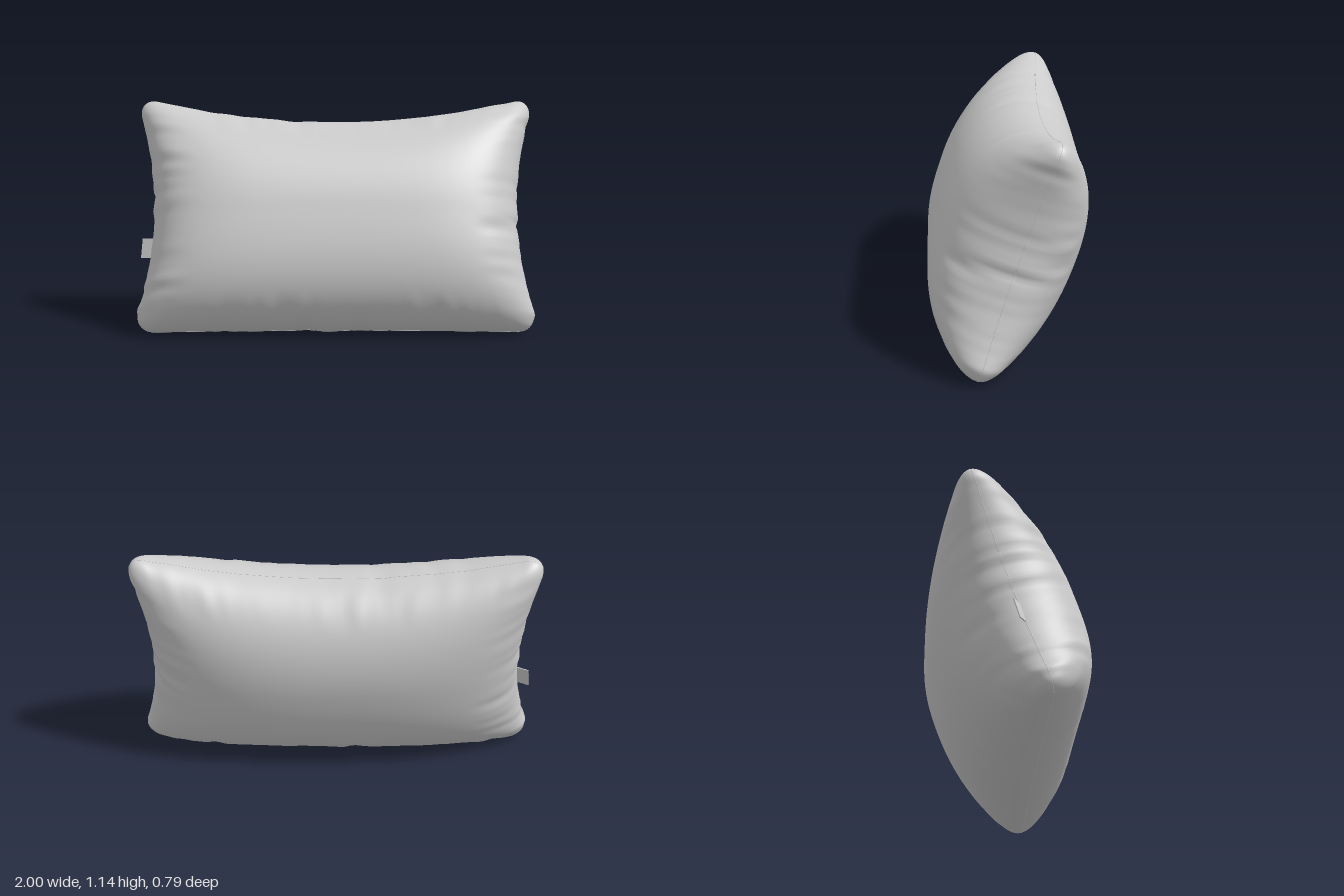
import * as THREE from 'three';

const NU = 120, NV = 90;
const R = 0.12; // corner rounding
const grey = () => new THREE.MeshStandardMaterial({ color: 0xcccccc, side: THREE.DoubleSide });

// soft falloff from 1 at the middle to 0 at the seam
const dome = (s, p, q = 0.5) => Math.max(0, 1 - Math.abs(s) ** p) ** q;
const edge = (s) => THREE.MathUtils.smoothstep(Math.abs(s), 0.7, 0.97);

// irregular gathers along an edge
function gathers(s, seed) {
  const w = Math.sin(s * 17 + seed) + 0.8 * Math.sin(s * 29 + seed * 2.3) + 0.5 * Math.sin(s * 47 + seed * 4.1);
  return w * (0.55 + 0.45 * Math.sin(s * 5 + seed * 1.7));
}

// outline of the cover in the seam plane: rounded corners, edges pinched inwards
function outline(u, v) {
  const halfH = 0.58;
  let x = Math.abs(u), y = Math.abs(v) * halfH;
  const a = (x - (1 - R)) / R, b = (y - (halfH - R)) / R;
  if (a > 0 && b > 0) {
    x = 1 - R + R * a * Math.sqrt(1 - b * b / 2);
    y = halfH - R + R * b * Math.sqrt(1 - a * a / 2);
  }
  x *= Math.sign(u);
  y *= Math.sign(v);
  const vv = y / halfH;
  const top = 0.488 + 0.145 * x * x, bottom = 0.58 + 0.01 * x * x;
  const px = x * (0.92 + 0.112 * vv * vv) + 0.004 * gathers(vv * 1.3, u > 0 ? 1 : 4) * u ** 8 * (1 - vv ** 4);
  const py = vv * (v > 0 ? top : bottom) + 0.0025 * gathers(x, v > 0 ? 2 : 5) * v ** 8 * (1 - x ** 4);
  return [px, py];
}

// puffed height of one panel above the seam plane; the back narrows more gradually
function puff(u, v, front) {
  const h = front
    ? 0.358 * dome(u, 5.5) * dome(v, v < 0 ? 3 : 2)
    : 0.355 * dome(u, 2.8, 0.42) * dome(v, v < 0 ? 2.3 : 2.1);
  const seed = front ? 0.6 : 3.2;
  const sides = edge(u) * (1 - v ** 6) * gathers(v, seed + Math.sign(u));
  const ends = edge(v) * (1 - u ** 6) * gathers(u * 1.5, seed + 2 * Math.sign(v));
  const depth = !front && v < 0 ? 0.045 : 0.025;
  return h * (1 + 0.025 * sides + depth * ends);
}

// grid is denser towards the seam, where the surface turns fastest
const spread = (i, n) => Math.sin((i / n - 0.5) * Math.PI);

function panel(front) {
  const pos = [], idx = [], row = NU + 1;
  for (let j = 0; j <= NV; j++) {
    for (let i = 0; i <= NU; i++) {
      const u = spread(i, NU), v = spread(j, NV);
      const [x, y] = outline(u, v);
      pos.push(x, y, (front ? 1 : -1) * puff(u, v, front));
      if (i < NU && j < NV) {
        const a = j * row + i, b = a + 1, c = a + row, d = c + 1;
        if (front) idx.push(a, b, d, a, d, c);
        else idx.push(a, d, b, a, c, d);
      }
    }
  }
  const g = new THREE.BufferGeometry();
  g.setAttribute('position', new THREE.Float32BufferAttribute(pos, 3));
  g.setIndex(idx);
  g.computeVertexNormals();
  return g;
}

// thin stitched line running around the outline
function seamGeometry() {
  const pts = [], n = 60;
  const sides = [(s) => [s, -1], (s) => [1, s], (s) => [-s, 1], (s) => [-1, -s]];
  for (const side of sides)
    for (let i = 0; i < n; i++) {
      const [x, y] = outline(...side(spread(i, n)));
      pts.push(new THREE.Vector3(x, y, 0));
    }
  return new THREE.TubeGeometry(new THREE.CatmullRomCurve3(pts, true), 400, 0.0015, 6, true);
}

export function createModel() {
  const group = new THREE.Group();
  group.name = 'cushion';

  // everything is built upright, then leaned back
  const body = new THREE.Group();
  body.name = 'leaningCushion';
  body.rotation.x = -0.327;
  body.position.set(0, 0.57, -0.02);
  group.add(body);

  const add = (name, geometry) => {
    const mesh = new THREE.Mesh(geometry, grey());
    mesh.name = name;
    body.add(mesh);
    return mesh;
  };

  add('frontPanel', panel(true));
  add('backPanel', panel(false));
  add('seam', seamGeometry());

  // small fabric tag sewn into the side seam
  const tag = add('tag', new THREE.BoxGeometry(0.08, 0.1, 0.005));
  tag.position.set(-0.95, -0.16, -0.01);
  tag.rotation.set(0, -0.5, -0.08);

  // rest on the ground
  group.updateMatrixWorld(true);
  body.position.y -= new THREE.Box3().setFromObject(group, true).min.y;
  return group;
}
